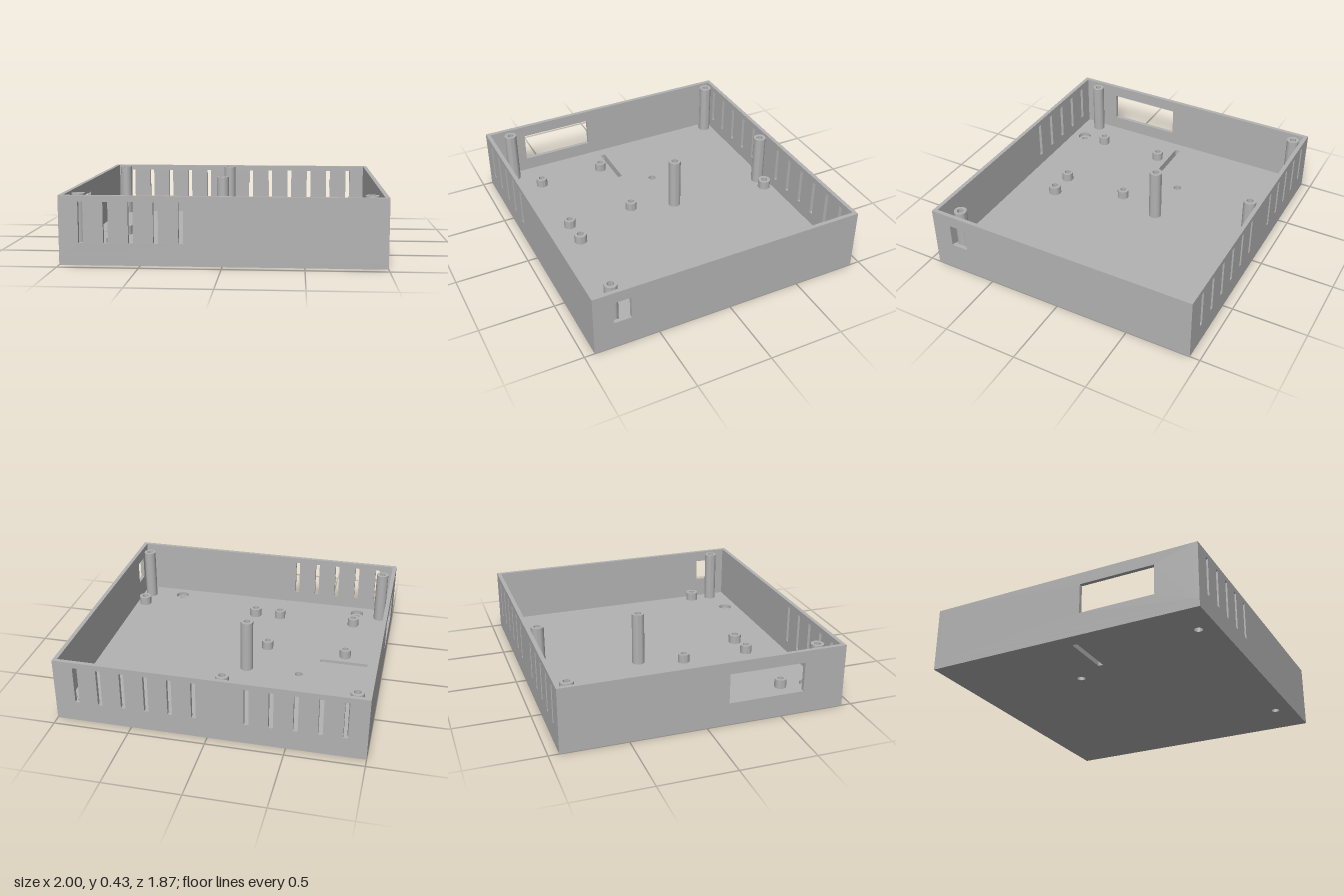
import * as THREE from 'three';
import { toCreasedNormals } from 'three/addons/utils/BufferGeometryUtils.js';

const HX = 1, HZ = 0.933, H = 0.43, WALL = 0.027, FLOOR = 0.056;

const plastic = new THREE.MeshStandardMaterial({ color: 0xb2b2b2 });
plastic.name = 'grey plastic';

// Rectangle outline from corner to corner
function rect(x0, y0, x1, y1, Type = THREE.Shape) {
  return new Type([[x0, y0], [x1, y0], [x1, y1], [x0, y1]].map(p => new THREE.Vector2(...p)));
}

function circle(x, z, r) {
  const p = new THREE.Path();
  p.absarc(x, -z, r, 0, Math.PI * 2, true);
  return p;
}

function plate(shape, holes, depth) {
  shape.holes.push(...holes);
  const geo = new THREE.ExtrudeGeometry(shape, { depth, bevelEnabled: false, curveSegments: 24 });
  return toCreasedNormals(geo, 0.6);
}

export function createModel() {
  const group = new THREE.Group();
  const add = (name, geo) => {
    const mesh = new THREE.Mesh(geo, plastic);
    mesh.name = name;
    group.add(mesh);
    return mesh;
  };

  // Floor in two layers, so that the screw holes are counterbored from inside
  const screws = [[-0.737, 0.812], [0.663, 0.812]];
  const layers = [['floorBottom', 0, 0.027], ['floorTop', FLOOR / 2, 0.048]];
  for (const [name, y, r] of layers) {
    const holes = [
      ...screws.map(([x, z]) => circle(x, z, r)),
      circle(-0.447, -0.153, 0.027),
      rect(-0.898, -0.077, -0.567, -0.043, THREE.Path),
    ];
    const geo = plate(rect(-HX, -HZ, HX, HZ), holes, FLOOR / 2);
    add(name, geo.rotateX(-Math.PI / 2)).position.y = y;
  }

  // Front and back walls with ventilation slots
  const slot = x => rect(x - 0.015, 0.138, x + 0.015, 0.392, THREE.Path);
  const ventsA = [0, 1, 2, 3, 4].map(i => -0.864 + i * 0.1535);
  const ventsB = [0, 1, 2, 3, 4, 5].map(i => 0.085 + i * 0.1535);
  add('frontWall', plate(rect(-HX, FLOOR, HX, H), ventsA.map(slot), WALL)).position.z = HZ - WALL;
  add('backWall', plate(rect(-HX, FLOOR, HX, H), [...ventsA, ...ventsB].map(slot), WALL)).position.z = -HZ;

  // Side walls with connector windows, drawn along z and turned upright
  const sideWall = (name, x, z0, z1, y0, y1) => {
    const len = HZ - WALL;
    const geo = plate(rect(-len, FLOOR, len, H), [rect(-z1, y0, -z0, y1, THREE.Path)], WALL);
    add(name, geo.rotateY(Math.PI / 2)).position.x = x;
  };
  sideWall('largeWindowWall', -HX, 0.145, 0.65, 0.15, 0.35);
  sideWall('smallWindowWall', HX - WALL, 0.683, 0.8, 0.195, 0.352);

  // Hollow screw posts: x, z, top height, radius
  const TALL = 0.425, SHORT = 0.117;
  const posts = [
    [-0.91, -0.85, TALL, 0.043], [-0.08, -0.85, TALL, 0.043], [-0.08, -0.153, TALL, 0.043],
    [-0.91, 0.775, TALL, 0.042], [0.907, 0.775, TALL, 0.042],
    [0.022, -0.85, SHORT, 0.044], [0.91, -0.85, SHORT, 0.044],
    [0.022, 0.62, SHORT, 0.044], [0.91, 0.62, SHORT, 0.044],
    [-0.728, 0.152, SHORT, 0.04], [-0.167, 0.152, SHORT, 0.04],
    [-0.728, 0.625, SHORT, 0.04], [-0.167, 0.625, SHORT, 0.04],
  ];
  for (const [x, z, top, r] of posts) {
    const profile = [[r, FLOOR], [r, top], [r * 0.52, top], [r * 0.52, FLOOR + 0.004], [0, FLOOR + 0.004]];
    const geo = new THREE.LatheGeometry(profile.map(p => new THREE.Vector2(...p)), 32);
    add(top === TALL ? 'tallPost' : 'shortStandoff', toCreasedNormals(geo, 0.6)).position.set(x, 0, z);
  }
  return group;
}
